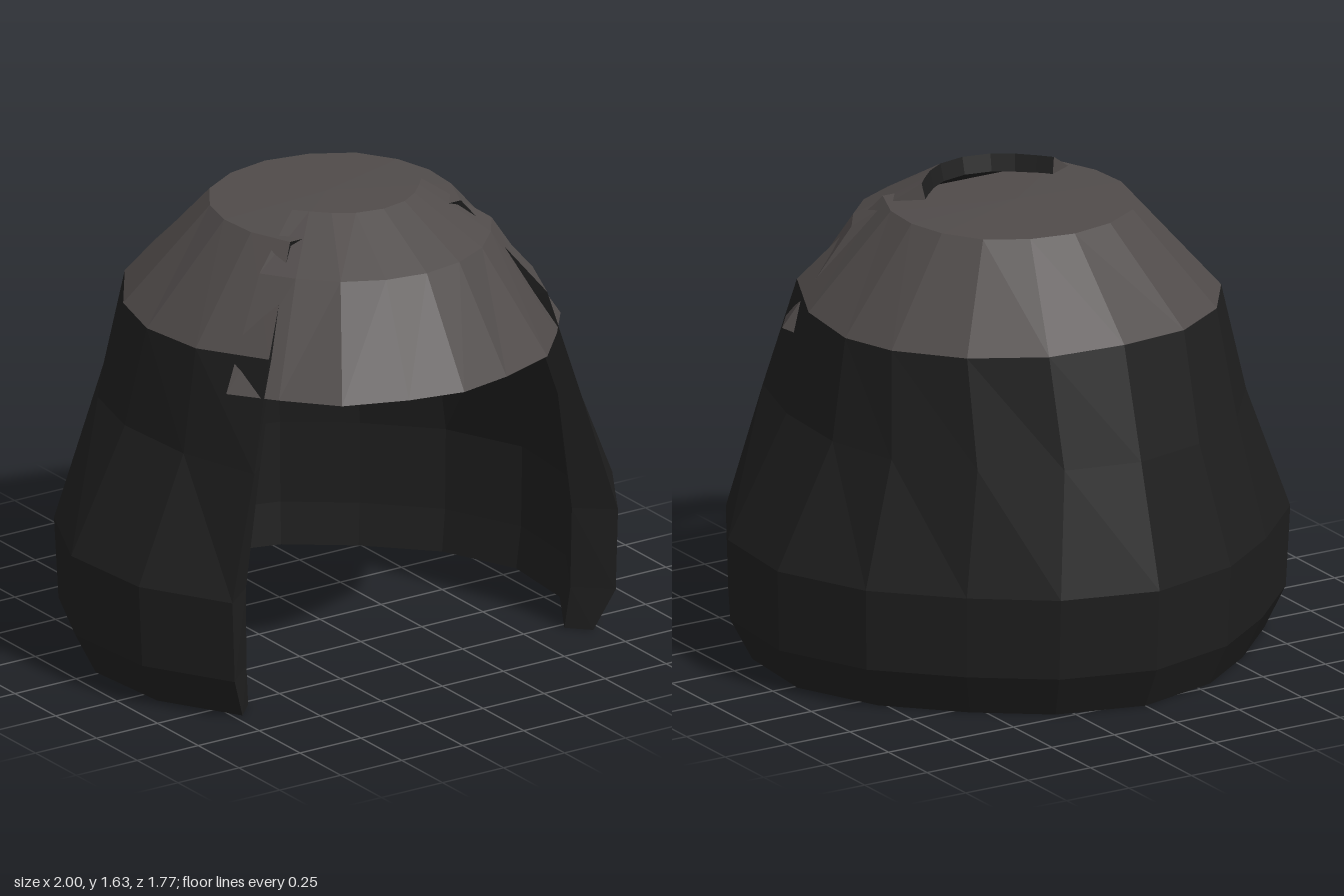
import * as THREE from 'three';

const dark = new THREE.MeshStandardMaterial({ color: 0x1e1e1e, flatShading: true, side: THREE.DoubleSide });
dark.name = 'charcoal';
const grey = new THREE.MeshStandardMaterial({ color: 0x504b4a, flatShading: true, side: THREE.DoubleSide });
grey.name = 'warm grey';

// Mirror a half cross-section (centre to +x) into a full row from -x to +x
function row(half, y, scale = 1, shiftZ = 0) {
  const pts = half.map(([x, z, rise = 0]) => new THREE.Vector3(x * scale, y + rise, z * scale + shiftZ));
  const left = pts.slice(1).reverse().map(p => new THREE.Vector3(-p.x, p.y, p.z));
  return [...left, ...pts];
}

// Faceted sheet through rows of points
function sheet(rows, material, name, flip = false) {
  const pos = [];
  const tri = (a, b, c) => {
    for (const p of flip ? [a, c, b] : [a, b, c]) pos.push(p.x, p.y, p.z);
  };
  for (let j = 0; j < rows.length - 1; j++) {
    for (let i = 0; i < rows[j].length - 1; i++) {
      const a = rows[j][i], b = rows[j][i + 1], c = rows[j + 1][i + 1], d = rows[j + 1][i];
      if (!a.equals(b)) tri(a, b, c);
      if (!c.equals(d)) tri(a, c, d);
    }
  }
  const geo = new THREE.BufferGeometry();
  geo.setAttribute('position', new THREE.Float32BufferAttribute(pos, 3));
  geo.computeVertexNormals();
  const mesh = new THREE.Mesh(geo, material);
  mesh.name = name;
  return mesh;
}

// Thick open shell: rows run bottom to top, the two side ends are closed
function shell(name, outer, inner, outerMaterial, endMaterial, flip) {
  const group = new THREE.Group();
  group.name = name;
  group.add(sheet(outer, outerMaterial, name + 'Outer', flip));
  group.add(sheet(inner, dark, name + 'Inner', !flip));
  const last = outer[0].length - 1;
  group.add(sheet(outer.map((r, j) => [r[0], inner[j][0]]), endMaterial, name + 'RightEnd', !flip));
  group.add(sheet(outer.map((r, j) => [r[last], inner[j][last]]), endMaterial, name + 'LeftEnd', flip));
  return group;
}

export function createModel() {
  const model = new THREE.Group();
  model.name = 'hair';

  // Half cross-sections from the back centre round to the front corner: [x, z, rise]
  const wide = [[0, -0.89], [0.34, -0.8], [0.6, -0.61], [0.85, -0.36], [1, -0.03], [0.97, 0.34], [0.79, 0.645]];
  const middle = [[0, -0.77], [0.27, -0.71], [0.52, -0.55], [0.71, -0.3], [0.78, -0.03], [0.76, 0.3], [0.67, 0.6]];
  const brow = [[0, -0.66, 0.02], [0.27, -0.61, 0.01], [0.5, -0.45, 0], [0.66, -0.22, -0.01], [0.71, 0, -0.02], [0.69, 0.27, -0.01], [0.57, 0.54, 0.01]];
  const crown = [[0, -0.34], [0.16, -0.31], [0.3, -0.23], [0.385, -0.1], [0.42, 0.04], [0.41, 0.19], [0.35, 0.34]];
  const apex = crown.map(() => [0, 0.04]);

  // Long lower hair
  const lowerOuter = [row(wide, 0, 0.91, 0.013), row(wide, 0.15, 0.988, 0.008), row(wide, 0.44), row(middle, 0.87), row(brow, 1.24)];
  const lowerInner = [row(wide, 0, 0.82), row(wide, 0.15, 0.84), row(wide, 0.44, 0.845), row(middle, 0.87, 0.91), row(brow, 1.22, 0.9)];
  const lower = shell('lowerHair', lowerOuter, lowerInner, dark, dark, true);
  lower.add(sheet([lowerInner[0], lowerOuter[0]], dark, 'lowerHem', true));
  model.add(lower);

  // Crown cap with a very shallow peaked top and a straight front edge
  const capOuter = [lowerOuter.at(-1), row(crown, 1.568)];
  const capInner = [lowerInner.at(-1), row(crown, 1.51, 0.93)];
  const cap = shell('crownCap', capOuter, capInner, grey, dark, true);
  const rim = capOuter[1], innerRim = capInner[1];
  const front = [rim[0], rim.at(-1)], innerFront = [innerRim[0], innerRim.at(-1)];
  const peak = row(apex, 1.583), innerPeak = row(apex, 1.525);
  cap.add(sheet([rim, peak], grey, 'crownTop', true));
  cap.add(sheet([front, peak.slice(0, 2)], grey, 'crownTopFront'));
  cap.add(sheet([innerRim, innerPeak], dark, 'crownLining'));
  cap.add(sheet([innerFront, innerPeak.slice(0, 2)], dark, 'crownLiningFront', true));
  cap.add(sheet([innerFront, front], dark, 'crownFrontEdge'));
  model.add(cap);

  // Fringe, half sections from the front centre to the side
  const fringeLow = [[0, 0.885], [0.2, 0.845], [0.42, 0.765], [0.57, 0.6], [0.685, 0.45]];
  const fringeMid = [[0, 0.655], [0.15, 0.63], [0.29, 0.56], [0.4, 0.45], [0.475, 0.34]];
  const fringeTop = [[0, 0.39], [0.1, 0.37], [0.17, 0.325], [0.225, 0.27], [0.265, 0.225]];
  const fringeOuter = [row(fringeLow, 1.12), row(fringeMid, 1.48), row(fringeTop, 1.63)];
  const fringeInner = [row(fringeLow, 1.1, 0.94), row(fringeMid, 1.43, 0.95), row(fringeTop, 1.57, 0.96)];
  const fringe = shell('fringe', fringeOuter, fringeInner, grey, grey, false);
  fringe.add(sheet([fringeInner[0], fringeOuter[0]], dark, 'fringeHem'));
  fringe.add(sheet([fringeOuter.at(-1), fringeInner.at(-1)], dark, 'fringeTopEdge'));
  model.add(fringe);

  return model;
}
